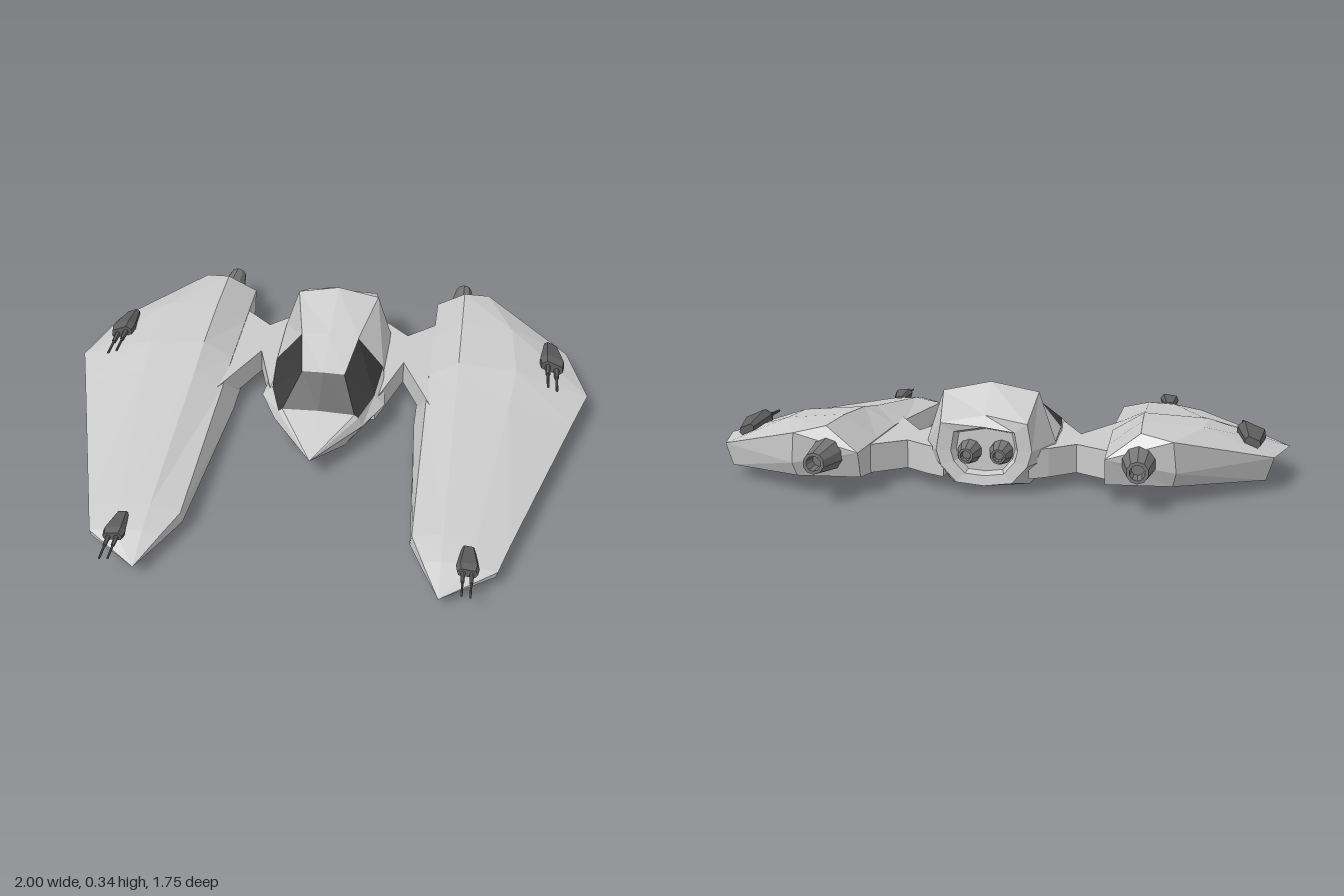
import * as THREE from 'three';

const paint = (color) => new THREE.MeshStandardMaterial({ color, flatShading: true, side: THREE.DoubleSide });
const grey = paint(0xcccccc), glass = paint(0x383838), gunMetal = paint(0x606060), engineMetal = paint(0x787878);

function add(parent, name, geometry, material, x = 0, y = 0, z = 0) {
  const mesh = new THREE.Mesh(geometry, material);
  mesh.name = name;
  mesh.position.set(x, y, z);
  parent.add(mesh);
  return mesh;
}

// Skins sections [z, [[x, y, dz?], ...]] ordered by rising z, each loop clockwise seen from +z.
function loft(sections, keep = () => true, caps = true) {
  const rings = sections.map(([z, loop]) => loop.map(([x, y, dz = 0]) => [x, y, z + dz]));
  const pos = [];
  const tri = (...corners) => corners.forEach((p) => pos.push(...p));
  const n = rings[0].length;
  for (let i = 0; i < rings.length - 1; i++) {
    for (let j = 0; j < n; j++) {
      if (!keep(i, j)) continue;
      const k = (j + 1) % n, a = rings[i], b = rings[i + 1];
      tri(a[j], b[j], b[k]);
      tri(a[j], b[k], a[k]);
    }
  }
  if (caps) {
    const first = rings[0], last = rings[rings.length - 1];
    for (let j = 1; j < n - 1; j++) {
      tri(first[0], first[j], first[j + 1]);
      tri(last[0], last[j + 1], last[j]);
    }
  }
  const geometry = new THREE.BufferGeometry();
  geometry.setAttribute('position', new THREE.Float32BufferAttribute(pos, 3));
  geometry.computeVertexNormals();
  return geometry;
}

// Completes a right half (top centre to bottom centre) into a symmetric loop.
const mirrorLoop = (half) => [...half, ...half.slice(1, -1).reverse().map(([x, y, dz]) => [-x, y, dz])];

// Hollow tapered exhaust pointing to -z
function nozzle(r0, r1, length) {
  const profile = [[r0, 0], [r0 * 0.95, length * 0.3], [r1, length], [r1 * 0.7, length], [r1 * 0.6, length * 0.7], [0, length * 0.7]];
  return new THREE.LatheGeometry(profile.map(([x, y]) => new THREE.Vector2(x, y)), 10).rotateX(-Math.PI / 2);
}

// Twin-barrelled gun: wedge housing with two stepped barrels
function makeGun(name) {
  const gun = new THREE.Group();
  gun.name = name;
  const slab = (z, w, y0, y1) => [z, [[-w * 0.7, y1], [w * 0.7, y1], [w, (y0 + y1) / 2], [w * 0.8, y0], [-w * 0.8, y0], [-w, (y0 + y1) / 2]]];
  add(gun, 'gunHousing', loft([
    slab(-0.09, 0.028, -0.01, 0.015),
    slab(0.04, 0.052, -0.012, 0.04),
    slab(0.075, 0.045, -0.006, 0.034),
  ]), gunMetal);
  for (const x of [-0.019, 0.019]) {
    for (const [part, r, length, z] of [['barrelSleeve', 0.011, 0.06, 0.1], ['barrel', 0.006, 0.14, 0.14]]) {
      add(gun, part, new THREE.CylinderGeometry(r * 0.8, r, length, 6).rotateX(Math.PI / 2), gunMetal, x, 0.012, z);
    }
  }
  return gun;
}

// Wing pod, strut, engine and guns of the left side
function makeSide() {
  const side = new THREE.Group();
  // Loop: inner top, ridge, outer ridge, edge, outer bottom, inner bottom
  add(side, 'wing', loft([
    [-0.75, [[0.39, 0.14], [0.5, 0.22, 0.03], [0.6, 0.2], [0.61, 0.1, 0.01], [0.6, 0.055, 0.03], [0.39, 0.055, 0.03]]],
    [-0.5, [[0.39, 0.14], [0.5, 0.22], [0.7, 0.205], [0.925, 0.11], [0.9, 0.035], [0.39, 0.03]]],
    [-0.24, [[0.39, 0.14], [0.5, 0.205], [0.72, 0.19], [1, 0.1], [0.92, 0.035], [0.35, 0.03]]],
    [-0.06, [[0.39, 0.13], [0.5, 0.18], [0.7, 0.165], [0.94, 0.098], [0.87, 0.033], [0.35, 0.03]]],
    [0.61, [[0.395, 0.085], [0.5, 0.107], [0.61, 0.1], [0.72, 0.078], [0.7, 0.04], [0.39, 0.045]]],
    [0.72, [[0.44, 0.075], [0.5, 0.09], [0.6, 0.085], [0.685, 0.068], [0.68, 0.045], [0.44, 0.045]]],
    [0.85, Array(6).fill([0.5, 0.05])],
  ]), grey);

  // Waisted strut joining the hull and wing
  const plan = [[0.14, -0.62], [0.2, -0.58], [0.285, -0.5], [0.41, -0.61], [0.41, -0.04], [0.285, -0.31], [0.2, -0.05], [0.14, -0.05]];
  const shape = new THREE.Shape(plan.map(([x, z]) => new THREE.Vector2(x, -z)));
  add(side, 'strut', new THREE.ExtrudeGeometry(shape, { depth: 0.095, bevelEnabled: false }).rotateX(-Math.PI / 2), grey, 0, 0.042, 0);

  add(side, 'wingEngine', nozzle(0.057, 0.034, 0.2), engineMetal, 0.495, 0.13, -0.68);

  const rearGun = makeGun('rearGun');
  rearGun.position.set(0.855, 0.153, -0.39);
  rearGun.rotation.z = -0.4;
  side.add(rearGun);
  const tipGun = makeGun('tipGun');
  tipGun.position.set(0.585, 0.09, 0.715);
  tipGun.rotation.z = -0.12;
  tipGun.scale.setScalar(0.75);
  side.add(tipGun);
  return side;
}

export function createModel() {
  const model = new THREE.Group();
  model.name = 'spacecraft';

  // Hull half sections: top centre, shoulder, waist, edge, bottom edge, bottom centre
  const tail = [[0, 0.25, 0.03], [0.14, 0.228], [0.155, 0.14], [0.14, 0.09], [0.09, 0.035], [0, 0.025]];
  const inset = (s) => tail.map(([x, y]) => [x * s, 0.132 + (y - 0.132) * s]);
  const sections = [
    [-0.62, inset(0.62)],
    [-0.655, inset(0.7)],
    [-0.66, tail],
    [-0.5, [[0, 0.342], [0.16, 0.31], [0.215, 0.145], [0.215, 0.1], [0.13, 0], [0, 0]]],
    [-0.25, [[0, 0.283], [0.11, 0.275], [0.21, 0.15], [0.22, 0.11], [0.13, 0], [0, 0]]],
    [-0.06, [[0, 0.237], [0.08, 0.235], [0.195, 0.148], [0.235, 0.11], [0.13, 0], [0, 0]]],
    [0.07, [[0, 0.155], [0.135, 0.15], [0.15, 0.138], [0.165, 0.1], [0.1, 0.002], [0, 0]]],
    [0.29, Array(6).fill([0, 0.095])],
  ].map(([z, half]) => [z, mirrorLoop(half)]);
  const isCanopy = (i, j) => {
    const strip = Math.min(j, 9 - j);
    return (i === 5 && strip < 2) || (i === 4 && strip === 1);
  };
  add(model, 'hull', loft(sections, (i, j) => !isCanopy(i, j)), grey);
  add(model, 'canopy', loft(sections, isCanopy, false), glass);

  // Twin exhausts in the tail recess
  for (const x of [-0.052, 0.052]) add(model, 'tailEngine', nozzle(0.04, 0.024, 0.09), engineMetal, x, 0.13, -0.613);

  const left = makeSide();
  left.name = 'leftSide';
  const right = makeSide();
  right.name = 'rightSide';
  right.scale.x = -1;
  model.add(left, right);
  return model;
}
